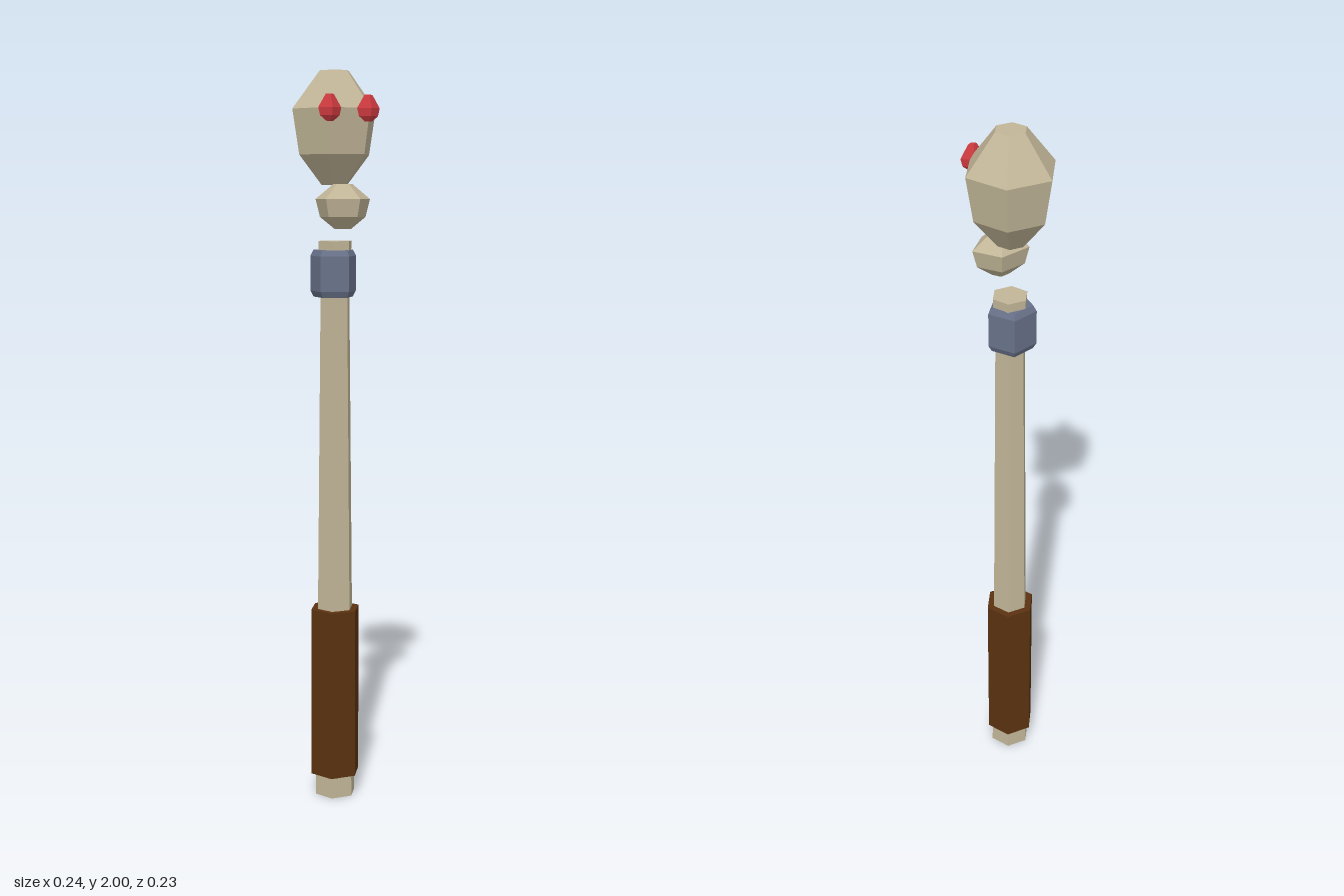
import * as THREE from 'three';

const mat = (name, color) => {
  const m = new THREE.MeshStandardMaterial({ color, flatShading: true });
  m.name = name;
  return m;
};

// Faceted solid of revolution; profile is [radius, y] from bottom to top, first corner on +x
function faceted(name, profile, sides, material, x = 0, y = 0, z = 0) {
  const ends = [[0, profile[0][1]], ...profile, [0, profile[profile.length - 1][1]]];
  const points = ends.map(([r, h]) => new THREE.Vector2(r, h));
  const mesh = new THREE.Mesh(new THREE.LatheGeometry(points, sides, Math.PI / 2), material);
  mesh.name = name;
  mesh.position.set(x, y, z);
  return mesh;
}

// Rounded lump shared by skull, jaw and eyes: unit radius, widest at y = 0
const lump = (r, up, down) => [
  [r * 0.31, -down], [r * 0.84, -down * 0.6], [r, 0], [r * 0.35, up],
];

export function createModel() {
  const bone = mat('bone', 0xc2b698);
  const leather = mat('leather', 0x5a3210);
  const iron = mat('iron', 0x69728a);
  const red = mat('red', 0xcf3b40);

  const model = new THREE.Group();
  model.name = 'boneStaff';
  const axisZ = -0.008;

  // Handle
  model.add(faceted('shaft', [[0.059, 0], [0.051, 0.54], [0.042, 1.4], [0.048, 1.555]], 6, bone, 0, 0, axisZ));
  model.add(faceted('grip', [[0.071, 0.062], [0.071, 0.54]], 6, leather, 0, 0, axisZ));
  model.add(faceted('collar',
    [[0.056, 1.405], [0.065, 1.421], [0.065, 1.515], [0.056, 1.531]], 5, iron, -0.004, 0, axisZ));

  // Floating head: skull above a small jaw
  model.add(faceted('skull', lump(0.119, 0.1, 0.197), 6, bone, 0, 1.9, -0.012));
  const jaw = faceted('jaw', lump(0.0775, 0.039, 0.078), 5, bone, -0.002, 1.666, 0.0535);
  jaw.scale.z = 0.84;
  model.add(jaw);

  // Eyes
  for (const side of [-1, 1]) {
    const eye = faceted(side > 0 ? 'leftEye' : 'rightEye', lump(0.032, 0.034, 0.034), 4, red, side * 0.054, 1.899, 0.092);
    eye.scale.z = 0.63;
    model.add(eye);
  }
  return model;
}
